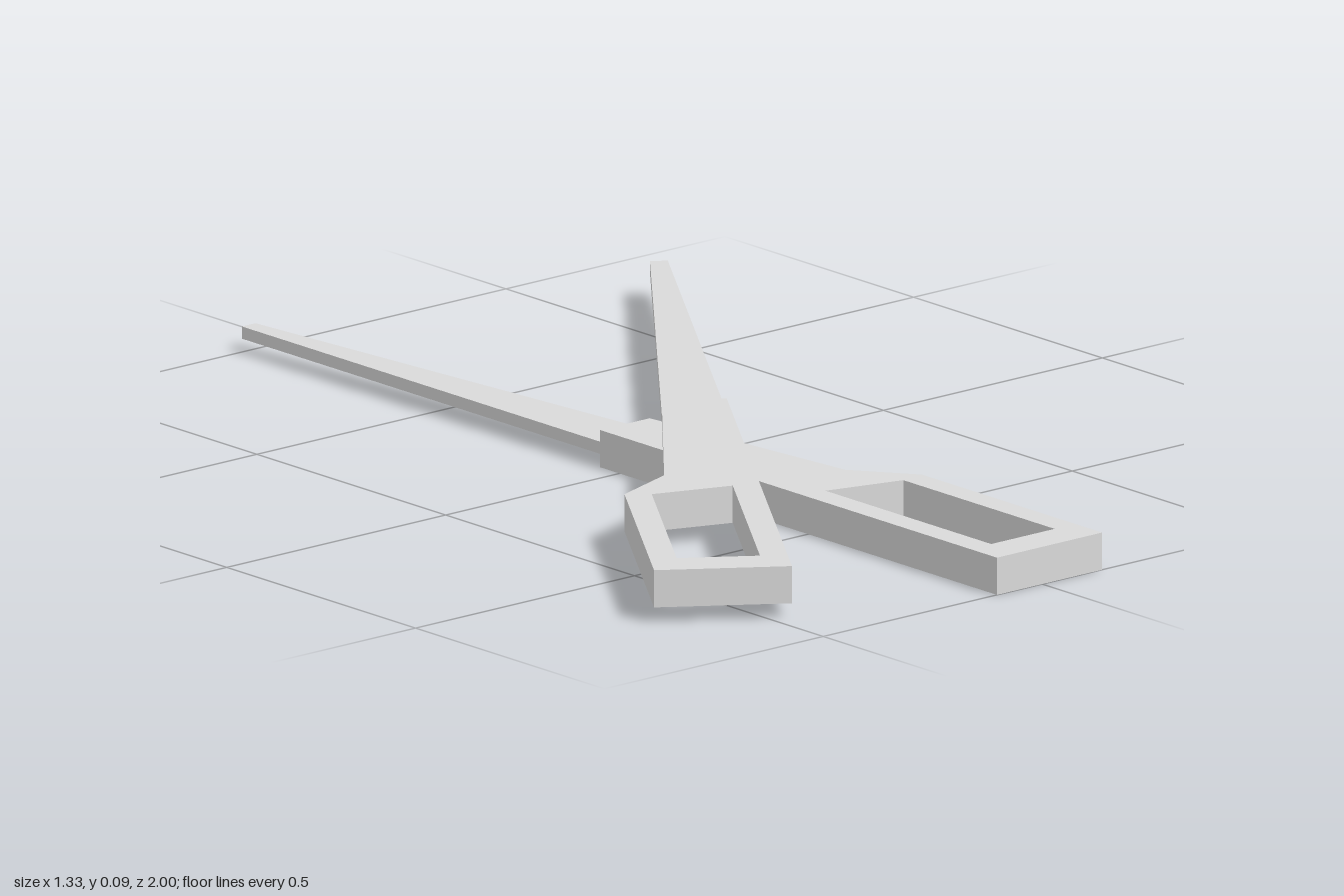
import * as THREE from 'three';
import { toCreasedNormals } from 'three/addons/utils/BufferGeometryUtils.js';

const steel = new THREE.MeshStandardMaterial({ color: 0xd9d9d9 });
steel.name = 'light grey';

const toPoints = (list) => list.map(([x, z]) => new THREE.Vector2(x, -z));

// Flat plate from an (x, z) outline, lying between two heights;
// a hole runs the opposite way round to the outline
function plate(name, outline, bottom, top, hole) {
  const shape = new THREE.Shape(toPoints(outline));
  if (hole) shape.holes.push(new THREE.Path(toPoints(hole)));
  const geometry = new THREE.ExtrudeGeometry(shape, { depth: top - bottom, bevelEnabled: false });
  geometry.rotateX(-Math.PI / 2).translate(0, bottom, 0);
  // Soft shading over the shallow bends, sharp at the corners
  const mesh = new THREE.Mesh(toCreasedNormals(geometry, 0.8), steel);
  mesh.name = name;
  return mesh;
}

// One half of the scissors: thick handle with a finger hole, thin tapered blade
function scissorHalf(name) {
  const half = new THREE.Group();
  half.name = name;
  half.add(
    plate('handle',
      [[-0.103, -0.051], [0.01, -0.051], [0.056, 0.413], [0.137, 0.523], [0.137, 1], [-0.103, 1]],
      0, 0.067,
      [[-0.055, 0.929], [0.09, 0.929], [0.09, 0.528], [-0.055, 0.49]]),
    plate('blade',
      [[-0.103, -1], [-0.072, -1], [0.01, -0.051], [-0.103, -0.051]],
      0.024, 0.046),
  );
  return half;
}

export function createModel() {
  const model = new THREE.Group();
  model.name = 'scissors';

  const lower = scissorHalf('lowerHalf');

  // Same half turned upside down and swung open around the pivot
  const upper = scissorHalf('upperHalf');
  upper.rotation.set(0, -0.604, Math.PI);
  upper.position.set(0.014, 0.095, 0);

  model.add(lower, upper);
  return model;
}
